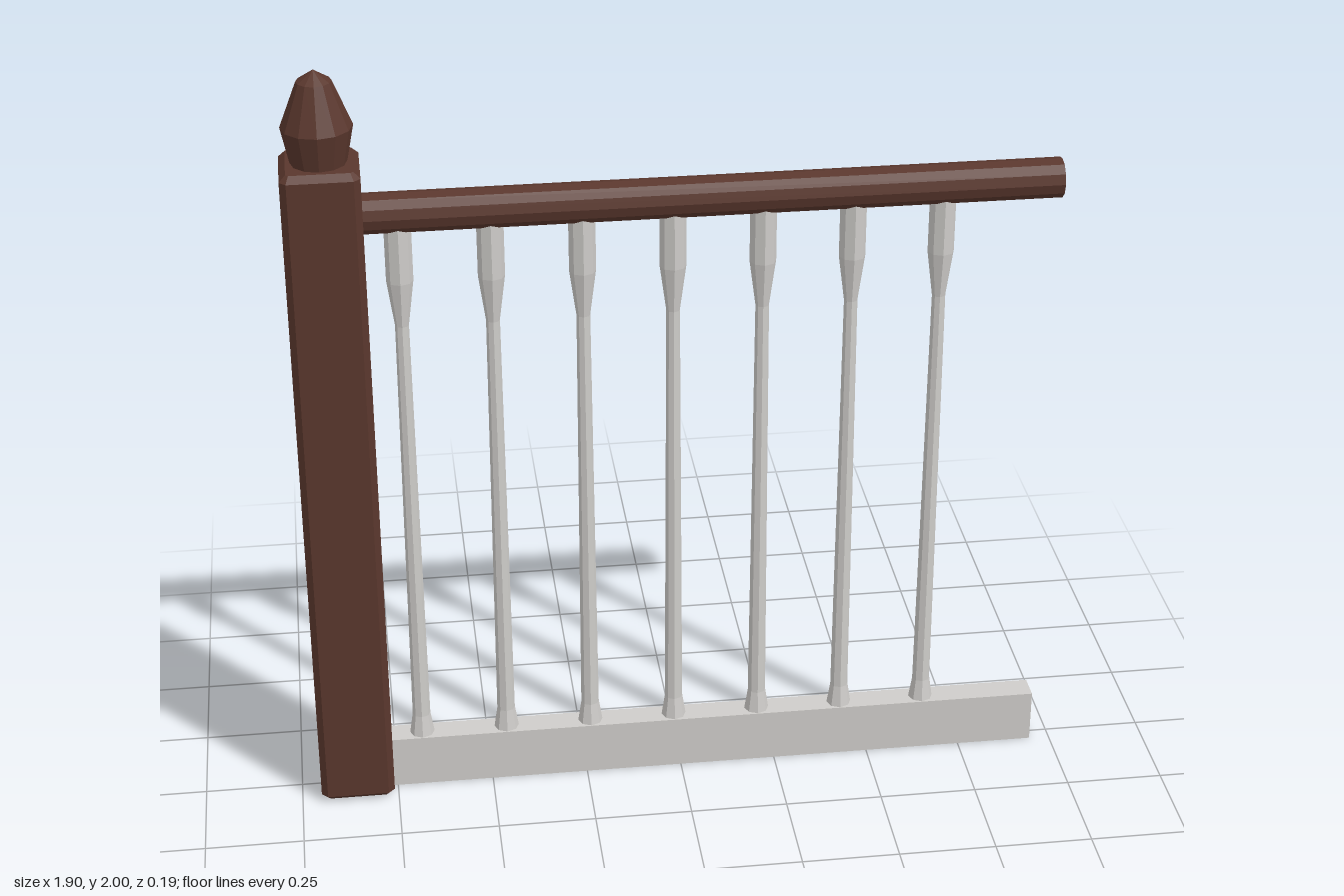
import * as THREE from 'three';

const V = (x, y) => new THREE.Vector2(x, y);

export function createModel() {
  const model = new THREE.Group();
  model.name = 'railing';

  const wood = new THREE.MeshStandardMaterial({ color: 0x5a372d });
  wood.name = 'dark brown wood';
  const paint = new THREE.MeshStandardMaterial({ color: 0xcfcdca });
  paint.name = 'pale grey paint';

  const add = (name, geometry, material, x, y, z = 0) => {
    // split the corners so every facet stays flat
    const g = geometry.index ? geometry.toNonIndexed() : geometry;
    g.computeVertexNormals();
    const mesh = new THREE.Mesh(g, material);
    mesh.name = name;
    mesh.position.set(x, y, z);
    model.add(mesh);
    return mesh;
  };

  const postX = -0.855;

  // Square post with all edges chamfered
  const h = 0.095, c = 0.016, bottom = 0.004, top = 1.77;
  const section = new THREE.Shape([
    V(h - c, -h), V(h, c - h), V(h, h - c), V(h - c, h),
    V(c - h, h), V(-h, h - c), V(-h, c - h), V(c - h, -h),
  ]);
  const post = new THREE.ExtrudeGeometry(section, {
    depth: top - bottom - 2 * c, bevelEnabled: true, bevelSegments: 1,
    bevelSize: c, bevelThickness: c, bevelOffset: -c,
  });
  post.rotateX(-Math.PI / 2);
  add('post', post, wood, postX, bottom + c);

  // Turned finial
  const finial = new THREE.LatheGeometry(
    [V(0.066, 1.76), V(0.086, 1.86), V(0.042, 1.972), V(0, 2)], 12);
  add('finial', finial, wood, postX, 0);

  // Round handrail
  const start = -0.8, end = 0.94;
  const rail = new THREE.CylinderGeometry(0.05, 0.05, end - start, 12);
  rail.rotateZ(Math.PI / 2);
  add('handrail', rail, wood, (start + end) / 2, 1.63);

  // Base board, running into the post
  const boardStart = -0.86, boardEnd = 0.947;
  add('baseBoard', new THREE.BoxGeometry(boardEnd - boardStart, 0.142, 0.068), paint,
    (boardStart + boardEnd) / 2, 0.071);

  // Turned balusters: flared foot, slim tapering shaft, thick head
  const profile = [V(0.033, 0.135), V(0.023, 0.2), V(0.017, 1.33), V(0.033, 1.45), V(0.033, 1.6)];
  for (let i = 0; i < 7; i++) {
    add('baluster' + (i + 1), new THREE.LatheGeometry(profile, 8), paint, -0.679 + i * 0.2212, 0);
  }

  return model;
}
